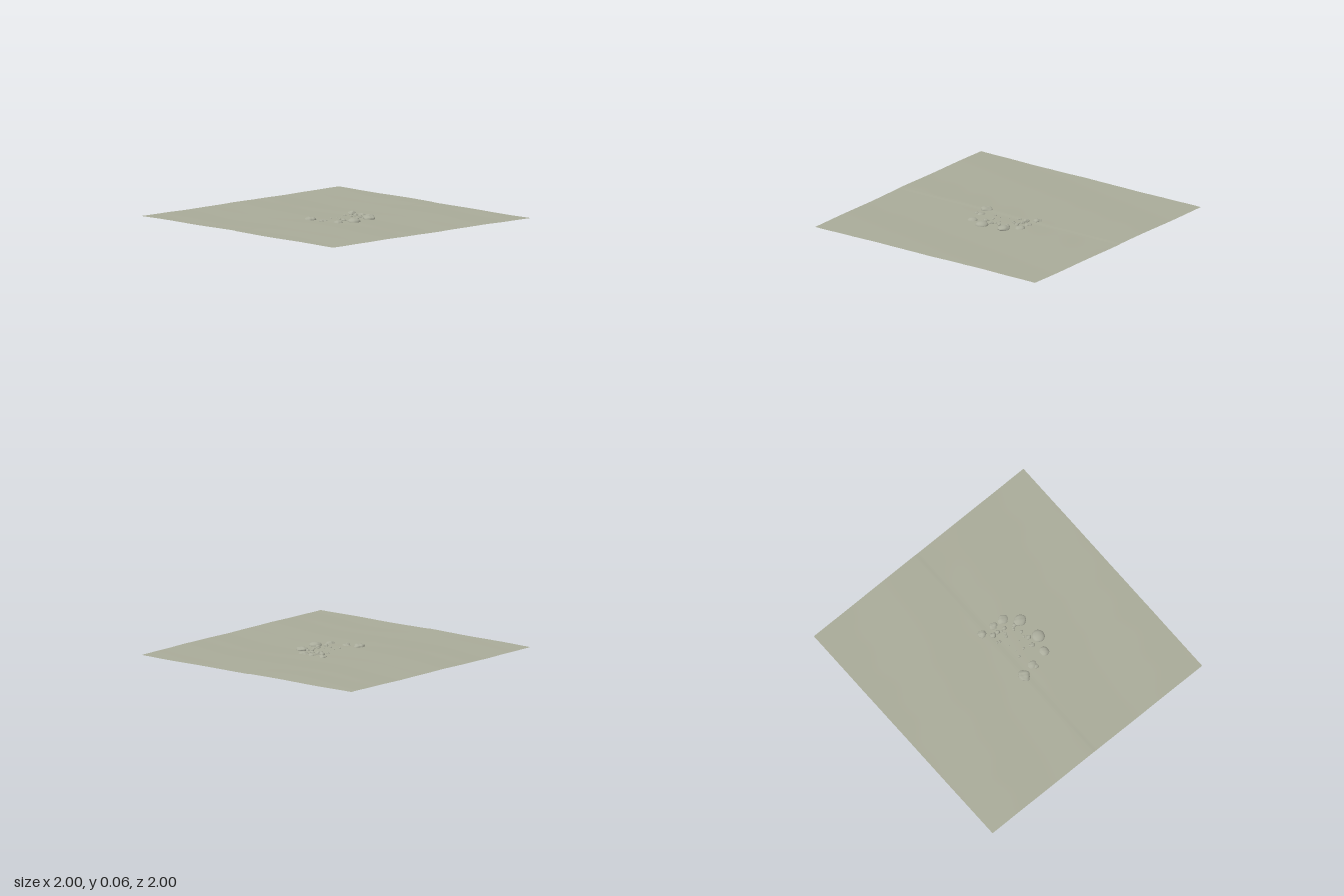
import * as THREE from 'three';
import { mergeVertices } from 'three/addons/utils/BufferGeometryUtils.js';

// Gentle rolling height of the ground, with a slight fold along x = -0.02
function groundHeight(x, z) {
  const fold = 0.0012 * Math.tanh((x + 0.02) / 0.012);
  const slope = 0.0025 * Math.tanh((x - 0.2) * 4);
  const ripples = 0.0012 * Math.sin(9 * x + 2 * z) + 0.0012 * Math.sin(7 * z - 1.5 * x)
    + 0.0005 * Math.sin(19 * z + Math.sin(4 * x));
  return 0.0365 - fold - slope + ripples;
}

function makeGround(material) {
  const geo = new THREE.PlaneGeometry(2, 2, 160, 100).rotateX(-Math.PI / 2);
  const p = geo.attributes.position;
  for (let i = 0; i < p.count; i++) p.setY(i, groundHeight(p.getX(i), p.getZ(i)));
  geo.computeVertexNormals();
  const mesh = new THREE.Mesh(geo, material);
  mesh.name = 'ground';
  return mesh;
}

// Lumpy flattened stone: a sphere pushed in and out by a few waves
function makeStone(rx, ry, rz, lump, seed, detail, material) {
  let geo = new THREE.IcosahedronGeometry(1, detail);
  geo.deleteAttribute('normal');
  geo.deleteAttribute('uv');
  geo = mergeVertices(geo, 1e-4);
  const p = geo.attributes.position;
  const v = new THREE.Vector3();
  for (let i = 0; i < p.count; i++) {
    v.fromBufferAttribute(p, i);
    const wave = Math.sin(3.1 * v.x + seed) * Math.sin(2.7 * v.z + seed * 1.7)
      + 0.6 * Math.sin(5.3 * v.y + 4.1 * v.x + seed * 2.3)
      + 0.4 * Math.sin(7.9 * v.z - 5.2 * v.x + seed * 3.1);
    v.multiplyScalar(1 + lump * wave);
    p.setXYZ(i, v.x * rx, v.y * ry, v.z * rz);
  }
  geo.computeVertexNormals();
  return new THREE.Mesh(geo, material);
}

export function createModel() {
  const group = new THREE.Group();
  const soil = new THREE.MeshStandardMaterial({ color: 0xa8aa98, side: THREE.DoubleSide });
  soil.name = 'pale soil';
  const rock = new THREE.MeshStandardMaterial({ color: 0xa9ab9b });
  rock.name = 'pale stone';

  group.add(makeGround(soil));

  // Large stones in a broken ring: x, y, z, half width, half height, half depth, lumpiness
  const stones = [
    [-0.06, 0.032, -0.22, 0.033, 0.020, 0.031, 0.09],
    [0.045, 0.027, -0.217, 0.034, 0.021, 0.028, 0.09],
    [0.13, 0.026, -0.21, 0.042, 0.024, 0.037, 0.06],
    [0.218, 0.038, -0.124, 0.048, 0.021, 0.042, 0.06],
    [0.243, 0.036, 0.054, 0.047, 0.024, 0.048, 0.02],
    [0.2, 0.030, 0.17, 0.036, 0.022, 0.040, 0.06],
    [0.065, 0.028, 0.193, 0.037, 0.020, 0.032, 0.06],
    [-0.035, 0.036, 0.222, 0.042, 0.024, 0.044, 0.09],
  ];
  stones.forEach(([x, y, z, rx, ry, rz, lump], i) => {
    const stone = makeStone(rx, ry, rz, lump, i * 1.9 + 0.7, 8, rock);
    stone.position.set(x, y, z);
    stone.name = 'ringStone' + (i + 1);
    group.add(stone);
  });

  // Pebbles inside the ring: x, z, radius
  const pebbles = [
    [-0.005, -0.162, 0.024], [0.037, -0.16, 0.018], [0.095, -0.152, 0.016],
    [0.062, -0.145, 0.008], [0.165, -0.122, 0.016], [0.14, -0.1, 0.011],
    [0.072, -0.115, 0.011], [0.062, -0.092, 0.011], [0.0, -0.092, 0.011],
    [-0.018, -0.1, 0.008], [0.148, -0.115, 0.010], [0.17, -0.05, 0.013],
    [0.16, -0.01, 0.010], [0.183, 0.015, 0.019], [0.165, 0.08, 0.018],
    [0.15, 0.07, 0.010], [0.1, 0.058, 0.009], [0.045, 0.035, 0.006],
    [0.035, 0.085, 0.009], [0.032, -0.03, 0.005], [0.11, -0.01, 0.006],
    [0.08, 0.225, 0.016],
  ];
  pebbles.forEach(([x, z, r], i) => {
    const pebble = makeStone(r, r * 0.75, r * 0.9, 0.09, i * 2.3 + 0.4, 4, rock);
    pebble.position.set(x, groundHeight(x, z) + r * 0.05, z);
    pebble.name = 'pebble' + (i + 1);
    group.add(pebble);
  });

  return group;
}
